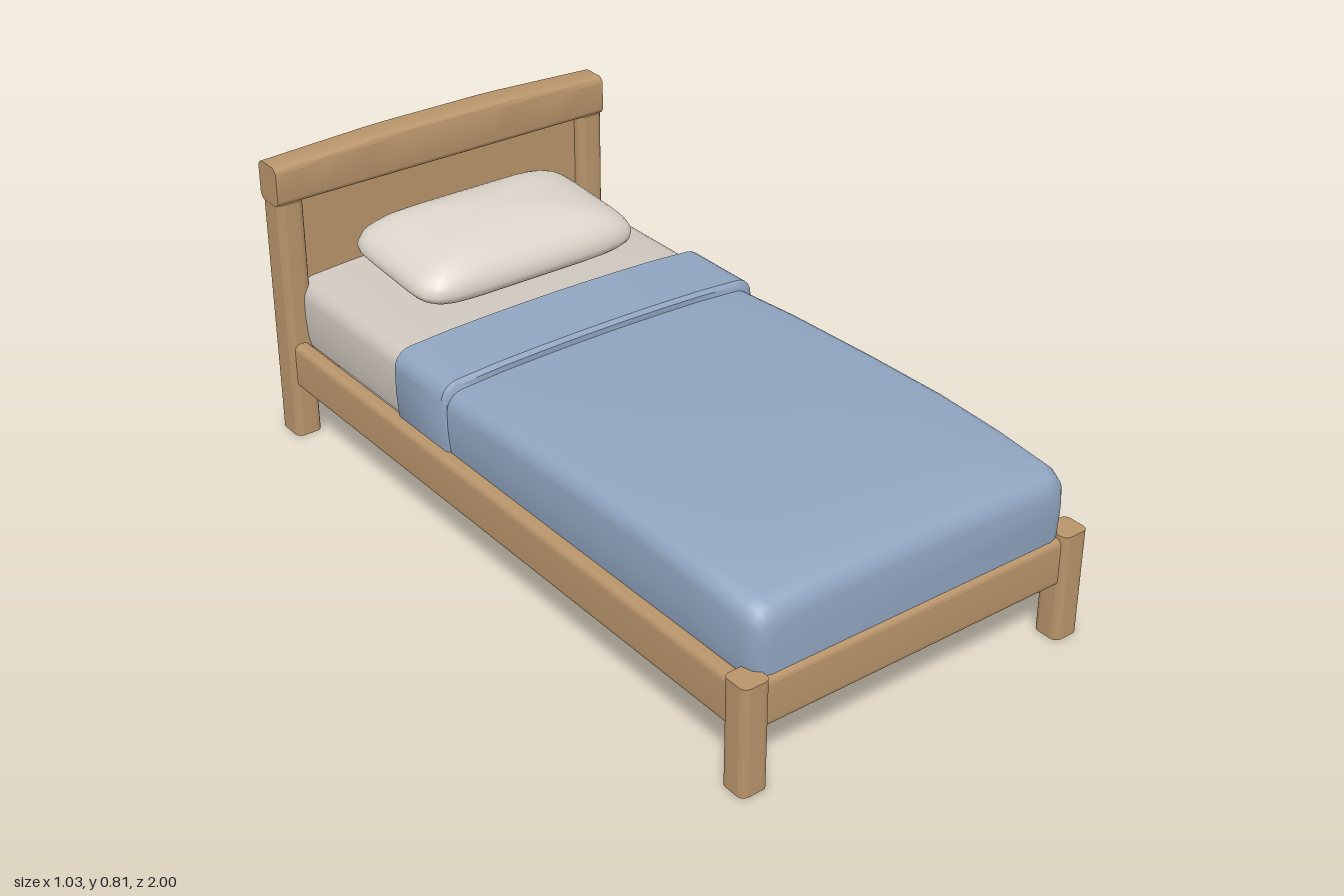
import * as THREE from 'three';
import { toCreasedNormals, mergeVertices } from 'three/addons/utils/BufferGeometryUtils.js';

const mat = (name, color) => {
  const m = new THREE.MeshStandardMaterial({ color });
  m.name = name;
  return m;
};

// Bar with softened long edges and square ends, centred, running along z
function barGeometry(w, h, length, r = 0.018, steps = 1) {
  const s = new THREE.Shape();
  const x = w / 2 - r, y = h / 2 - r, q = Math.PI / 2;
  s.absarc(x, y, r, 0, q);
  s.absarc(-x, y, r, q, 2 * q);
  s.absarc(-x, -y, r, 2 * q, 3 * q);
  s.absarc(x, -y, r, 3 * q, 4 * q);
  s.closePath();
  return new THREE.ExtrudeGeometry(s, { depth: length, steps, bevelEnabled: false, curveSegments: 4 })
    .translate(0, 0, -length / 2);
}

// Half-open bedding outline: up the right side, over the crowned top, down the left
function beddingOutline(w, t, bottom) {
  const r = 0.05, crown = 0.014, pts = [];
  const right = [[w * 0.975, bottom], [w * 0.99, bottom + 0.03], [w, bottom + 0.09]];
  for (let i = 0; i <= 5; i++) {
    const a = (i / 5) * Math.PI * 0.48;
    right.push([w - r + r * Math.cos(a), t - crown - r + r * Math.sin(a)]);
  }
  for (const f of [0.65, 0.4, 0.2]) right.push([w * f, t - crown * f * f]);
  pts.push(...right, [0, t]);
  for (const [x, y] of right.reverse()) pts.push([-x, y]);
  return pts;
}

// Loft through sections [z, half width, top height]
function beddingGeometry(sections, bottom) {
  const pos = [], idx = [];
  const rings = sections.map(([z, w, t]) => beddingOutline(w, t, bottom).map(([x, y]) => [x, y, z]));
  const n = rings[0].length;
  rings.forEach(ring => ring.forEach(p => pos.push(...p)));
  for (let i = 0; i < rings.length - 1; i++) {
    for (let j = 0; j < n; j++) {
      const k = (j + 1) % n;
      const a = i * n + j, b = i * n + k, c = b + n, d = a + n;
      idx.push(a, b, c, a, c, d);
    }
  }
  // End caps
  const last = rings.length - 1;
  for (const i of [0, last]) {
    const centre = pos.length / 3;
    pos.push(0, (bottom + sections[i][2]) / 2, sections[i][0]);
    for (let j = 0; j < n; j++) {
      const a = i * n + j, b = i * n + (j + 1) % n;
      idx.push(centre, ...(i === last ? [a, b] : [b, a]));
    }
  }
  const g = new THREE.BufferGeometry();
  g.setAttribute('position', new THREE.Float32BufferAttribute(pos, 3));
  g.setIndex(idx);
  return toCreasedNormals(g, 0.75);
}

// Cushion with a squarish footprint, plump top and flatter underside
function pillowGeometry(a, top, under, c) {
  let g = new THREE.SphereGeometry(1, 64, 24);
  g.deleteAttribute('uv');
  g.deleteAttribute('normal');
  g = mergeVertices(g, 1e-5);
  const p = g.attributes.position;
  for (let i = 0; i < p.count; i++) {
    const x = p.getX(i), y = p.getY(i), z = p.getZ(i);
    const r = Math.hypot(x, z);
    let k = 0;
    if (r > 1e-6) {
      const n = 7;
      k = Math.pow(r, 0.92) / r / Math.pow(Math.abs(x / r) ** n + Math.abs(z / r) ** n, 1 / n);
    }
    p.setXYZ(i, x * k * a, y * (y > 0 ? top : under), z * k * c);
  }
  g.computeVertexNormals();
  return g;
}

export function createModel() {
  const model = new THREE.Group();
  model.name = 'bed';
  const wood = mat('oak wood', 0xb8946a);
  const blue = mat('blue blanket', 0x90a5c0);
  const linen = mat('linen sheet', 0xcfc7be);
  const cotton = mat('pillow cotton', 0xdcd4ca);

  const add = (name, geometry, material, x = 0, y = 0, z = 0) => {
    const m = new THREE.Mesh(geometry, material);
    m.name = name;
    m.position.set(x, y, z);
    model.add(m);
    return m;
  };
  const soft = g => toCreasedNormals(g, 0.7);

  // Posts and side rails, mirrored
  for (const [side, s] of [['left', 1], ['right', -1]]) {
    add(side + 'HeadPost', soft(barGeometry(0.075, 0.09, 0.69).rotateX(-Math.PI / 2)), wood, s * 0.478, 0.345, -0.955);
    add(side + 'FootPost', soft(barGeometry(0.075, 0.075, 0.29).rotateX(-Math.PI / 2)), wood, s * 0.478, 0.145, 0.9625);
    add(side + 'SideRail', soft(barGeometry(0.045, 0.13, 1.84)), wood, s * 0.482, 0.215, 0.01);
  }

  // Foot rail, lower head rail and headboard panel
  const acrossRail = () => soft(barGeometry(0.045, 0.13, 0.9).rotateY(Math.PI / 2));
  add('footRail', acrossRail(), wood, 0, 0.215, 0.964);
  add('lowerHeadRail', acrossRail(), wood, 0, 0.215, -0.957);
  add('headboardPanel', new THREE.BoxGeometry(0.9, 0.44, 0.03), wood, 0, 0.48, -0.957);

  // Headboard top rail, gently raised in the middle
  const cap = barGeometry(0.09, 0.11, 1.035, 0.02, 14).rotateY(Math.PI / 2);
  const p = cap.attributes.position;
  for (let i = 0; i < p.count; i++) {
    if (p.getY(i) > 0) {
      const fall = Math.max(Math.abs(p.getX(i)) - 0.18, 0) / 0.34;
      p.setY(i, p.getY(i) + 0.015 * (1 - fall));
    }
  }
  add('headboardTopRail', soft(cap), wood, 0, 0.74, -0.955);

  // Mattress, blanket and its turned-down fold
  add('mattress', beddingGeometry([
    [-0.94, 0.465, 0.467], [-0.35, 0.465, 0.467],
  ], 0.265), linen);
  add('blanket', beddingGeometry([
    [-0.25, 0.475, 0.455], [-0.2, 0.476, 0.459], [0, 0.477, 0.473], [0.3, 0.477, 0.484],
    [0.55, 0.476, 0.489], [0.75, 0.474, 0.482], [0.92, 0.47, 0.469], [0.953, 0.461, 0.457],
    [0.97, 0.444, 0.437], [0.975, 0.425, 0.415],
  ], 0.26), blue);
  add('blanketFold', beddingGeometry([
    [-0.432, 0.476, 0.474], [-0.422, 0.485, 0.484], [-0.208, 0.485, 0.484], [-0.198, 0.476, 0.474],
  ], 0.258), blue);

  // Pillow, leaning slightly toward the foot
  const pillow = add('pillow', pillowGeometry(0.338, 0.107, 0.072, 0.207), cotton, 0, 0.538, -0.688);
  pillow.rotation.x = 0.07;

  return model;
}
